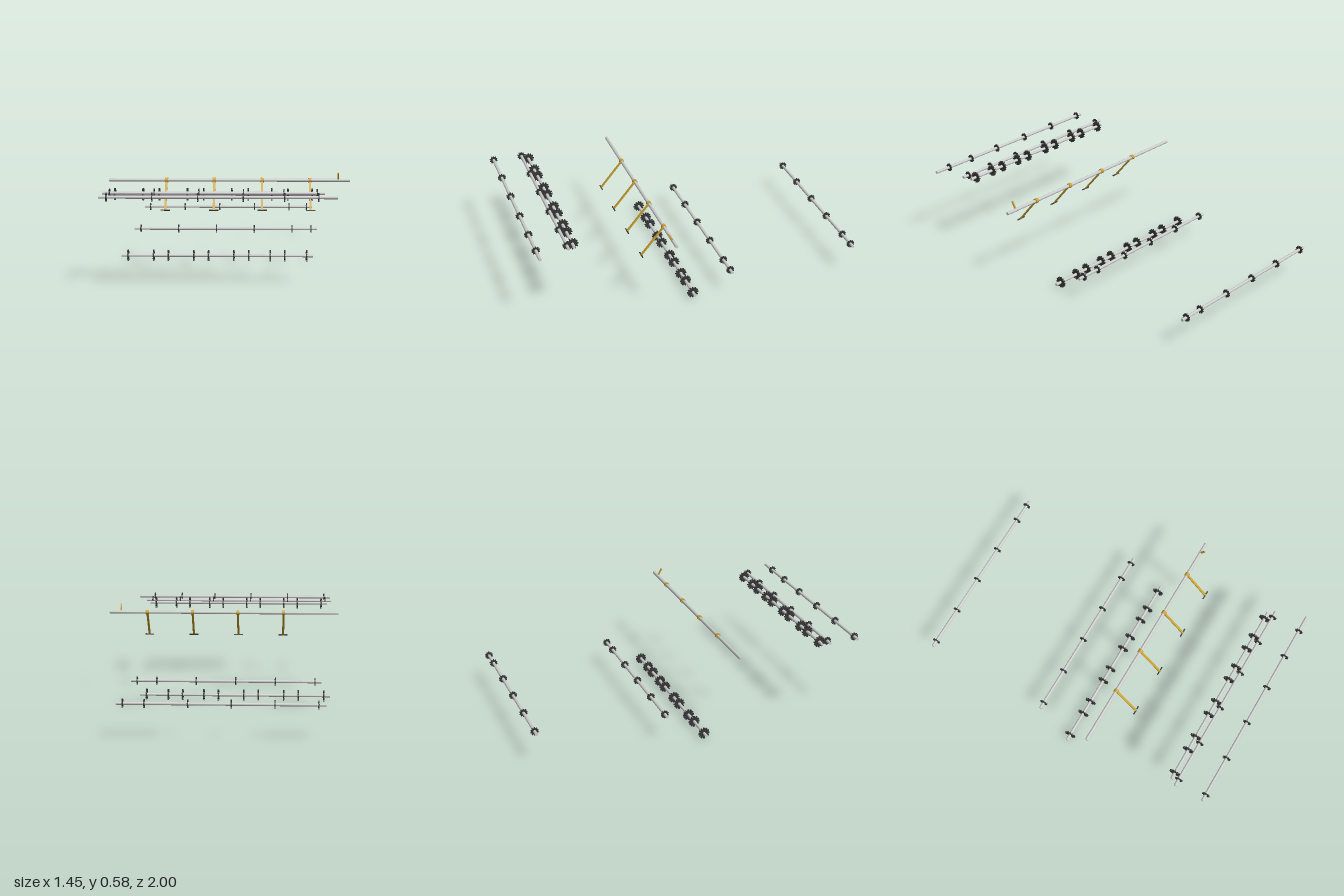
import * as THREE from 'three';
import { mergeGeometries } from 'three/addons/utils/BufferGeometryUtils.js';

const steel = new THREE.MeshStandardMaterial({ color: 0xcccccc });
const black = new THREE.MeshStandardMaterial({ color: 0x353535 });
const brass = new THREE.MeshStandardMaterial({ color: 0xc9a030 });

function add(parent, name, geometry, material, x = 0, y = 0, z = 0) {
  const mesh = new THREE.Mesh(geometry, material);
  mesh.name = name;
  mesh.position.set(x, y, z);
  parent.add(mesh);
  return mesh;
}

// Cylinder lying along x
function barGeometry(radius, length, sides = 20) {
  return new THREE.CylinderGeometry(radius, radius, length, sides).rotateZ(Math.PI / 2);
}

// Disc with block teeth round its rim, axis along x
function sprocketGeometry(radius, teeth, discWidth, toothWidth) {
  const root = radius * 0.8;
  const depth = radius - root * 0.9;
  const width = (Math.PI * root) / teeth;
  const parts = [barGeometry(root, discWidth, 24)];
  for (let i = 0; i < teeth; i++) {
    parts.push(new THREE.BoxGeometry(toothWidth, depth, width)
      .translate(0, radius - depth / 2, 0)
      .rotateX((i / teeth) * Math.PI * 2));
  }
  return mergeGeometries(parts);
}

const smallSprocket = sprocketGeometry(0.0245, 10, 0.006, 0.007);
const largeSprocket = sprocketGeometry(0.0345, 12, 0.006, 0.009);

// Shaft from x0 to x1 carrying a row of sprockets
function sprocketShaft(name, y, z, x0, x1, sprocket, xs) {
  const group = new THREE.Group();
  group.name = name;
  group.position.set(0, y, z);
  add(group, 'shaft', barGeometry(0.009, x1 - x0), steel, (x0 + x1) / 2);
  for (const x of xs) add(group, 'sprocket', sprocket, black, x);
  return group;
}

// Flat strip or rod from the shaft axis to a point (y, z)
function arm(parent, name, x, y, z, width, depth) {
  const length = Math.hypot(y, z);
  const mesh = add(parent, name, new THREE.BoxGeometry(width, length, depth), brass, x, y / 2, z / 2);
  mesh.rotation.x = Math.atan2(z, y);
}

export function createModel() {
  const model = new THREE.Group();
  model.name = 'conveyorShafts';

  const rearXs = [-0.57, -0.33, -0.09, 0.15, 0.39, 0.51];
  const frontXs = [-0.658, -0.408, -0.158, 0.091, 0.316, 0.502];
  const pairXs = [-0.632, -0.473, -0.382, -0.224, -0.133, 0.025, 0.116, 0.249, 0.339, 0.475];

  model.add(
    sprocketShaft('rearShaft', 0.204, -0.975, -0.61, 0.548, smallSprocket, rearXs),
    sprocketShaft('rearInnerShaft', 0.17, -0.192, -0.61, 0.548, smallSprocket, rearXs),
    sprocketShaft('lowerShaft', 0.035, 0.031, -0.672, 0.516, largeSprocket, pairXs),
    sprocketShaft('upperShaft', 0.511, 0.757, -0.672, 0.516, largeSprocket, pairXs),
    sprocketShaft('frontInnerShaft', 0.522, 0.796, -0.7, 0.544, smallSprocket, frontXs),
    sprocketShaft('frontShaft', 0.522, 0.975, -0.7, 0.607, smallSprocket, frontXs)
  );

  // Rocking shaft with four pusher arms and an end lever
  const rocker = new THREE.Group();
  rocker.name = 'rockerShaft';
  rocker.position.set(0, 0.528, 0.215);
  model.add(rocker);
  add(rocker, 'shaft', barGeometry(0.0095, 1.446), steel);
  for (const x of [-0.378, -0.09, 0.197, 0.484]) {
    add(rocker, 'armHub', barGeometry(0.0145, 0.02), brass, x);
    arm(rocker, 'pusherArm', x, -0.164, 0.138, 0.013, 0.008);
    add(rocker, 'pusherFoot', barGeometry(0.004, 0.057, 12), black, x, -0.164, 0.138);
  }
  arm(rocker, 'endLever', 0.653, 0.047, 0.027, 0.009, 0.009);

  return model;
}
